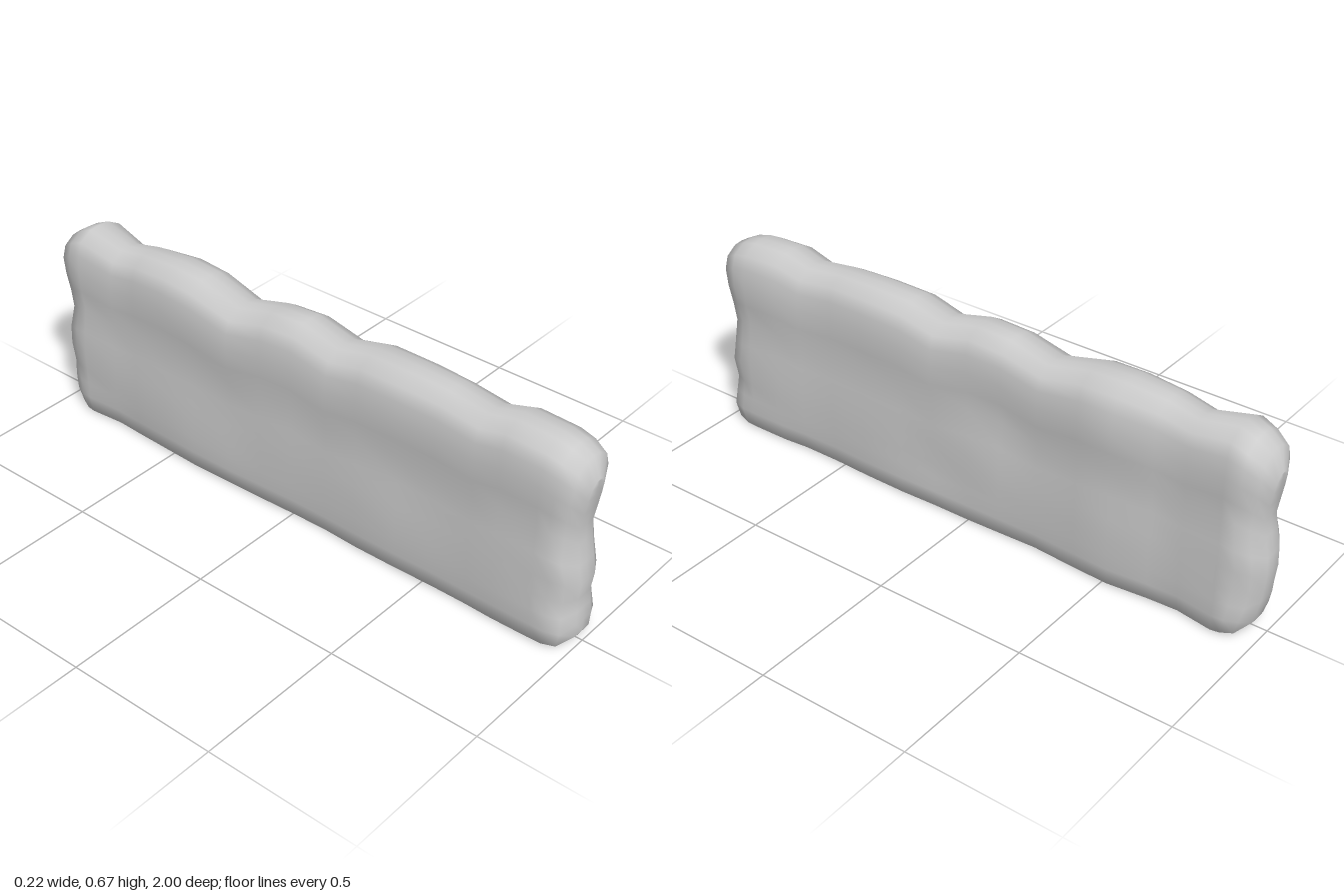
import * as THREE from 'three';
import { mergeVertices } from 'three/addons/utils/BufferGeometryUtils.js';

// Linear lookup in a list of [key, value] pairs with ascending keys
function lookup(table, k) {
  if (k <= table[0][0]) return table[0][1];
  for (let i = 1; i < table.length; i++) {
    const [a, va] = table[i - 1], [b, vb] = table[i];
    if (k <= b) return va + (vb - va) * (k - a) / (b - a);
  }
  return table[table.length - 1][1];
}

// Wavy crest: height along z
const crest = [[-1, 0.54], [-0.97, 0.62], [-0.88, 0.66], [-0.75, 0.63], [-0.65, 0.652],
  [-0.52, 0.662], [-0.4, 0.657], [-0.25, 0.62], [-0.12, 0.655], [0, 0.662], [0.13, 0.63],
  [0.25, 0.66], [0.4, 0.662], [0.53, 0.658], [0.66, 0.64], [0.75, 0.665], [0.88, 0.66],
  [0.97, 0.637], [1, 0.56]];

// Half thickness along z, for each face
const leftSide = [[-1, 0.09], [-0.88, 0.102], [-0.73, 0.08], [-0.5, 0.104], [-0.25, 0.085],
  [0, 0.095], [0.3, 0.1], [0.62, 0.086], [0.8, 0.102], [1, 0.092]];
const rightSide = [[-1, 0.09], [-0.88, 0.1], [-0.75, 0.088], [-0.4, 0.105], [-0.1, 0.098],
  [0.1, 0.09], [0.3, 0.1], [0.6, 0.093], [0.8, 0.101], [1, 0.094]];

// Scalloped end walls: reach in z by height
const frontEnd = [[0, 0.985], [0.05, 1], [0.16, 0.99], [0.24, 1], [0.3, 0.98], [0.4, 0.975],
  [0.55, 1], [0.665, 1]];
const backEnd = [[0, 0.955], [0.03, 0.965], [0.1, 0.985], [0.24, 1], [0.38, 0.975],
  [0.53, 1], [0.665, 1]];
// Extra pinch of the end columns by height
const endPinch = [[0, 1], [0.06, 1.02], [0.16, 0.78], [0.3, 0.98], [0.41, 0.85], [0.54, 1], [0.67, 0.95]];

// Half section: [share of thickness, share of height], bottom to top
const section = [[0, 0], [0.55, 0], [0.95, 0.006], [1.02, 0.09], [1.03, 0.17], [1.05, 0.25],
  [1.04, 0.36], [1, 0.47], [0.94, 0.6], [1.02, 0.7], [1.03, 0.8], [0.98, 0.89], [0.84, 0.955],
  [0.38, 0.995], [0, 1]];

// Soft hollows and swellings in the faces: side, z, y, radius, depth
const hollows = [[1, 0.13, 0.17, 0.13, -0.016], [1, -0.08, 0.42, 0.12, -0.012],
  [1, -0.5, 0.46, 0.14, 0.01], [1, 0.75, 0.48, 0.12, 0.006], [1, -0.55, 0.36, 0.1, -0.008],
  [-1, -0.3, 0.25, 0.13, -0.012], [-1, 0.45, 0.3, 0.12, -0.01], [-1, -0.65, 0.16, 0.16, 0.006],
  [-1, 0.1, 0.45, 0.14, 0.005]];

function wallGeometry() {
  // Stations along the length; the last few round off and close the ends
  const inner = crest.map(([z]) => z).filter((z) => Math.abs(z) < 0.9);
  const stations = [[-1, 0], [-1, 0.38], [-0.975, 0.86], [-0.93, 1],
    ...inner.map((z) => [z, 1]),
    [0.93, 1], [0.975, 0.88], [1, 0.4], [1, 0]];

  const mirrored = section.slice(1, -1).reverse().map(([x, y]) => [-x, y]);
  const loop = [...section, ...mirrored];
  const n = loop.length;
  const pos = [], index = [];

  stations.forEach(([t, round], k) => {
    const top = lookup(crest, t);
    const low = Math.abs(t) === 1 ? 0.03 : Math.abs(t) > 0.96 ? 0.004 : 0;
    loop.forEach(([fx, fy], j) => {
      const y = low + fy * (top - low);
      const side = Math.sign(fx);
      const reach = lookup(t > 0 ? frontEnd : backEnd, y);
      const nearEnd = Math.max(0, (Math.abs(t) - 0.85) / 0.15);
      const z = t * (1 + (reach - 1) * Math.min(1, nearEnd * 1.5));
      let x = fx * lookup(side > 0 ? leftSide : rightSide, t) * round;
      x *= 1 + (lookup(endPinch, y) - 1) * nearEnd;
      if (round === 1 && Math.abs(fx) > 0.9) {
        for (const [s, hz, hy, r, d] of hollows) {
          if (s === side) x += s * d * Math.exp(-((z - hz) ** 2 + (y - hy) ** 2) / (r * r));
        }
      }
      pos.push(x, y, z);
      if (k < stations.length - 1) {
        const a = k * n + j, b = k * n + (j + 1) % n;
        index.push(a, b, b + n, a, b + n, a + n);
      }
    });
  });

  const geo = new THREE.BufferGeometry();
  geo.setAttribute('position', new THREE.Float32BufferAttribute(pos, 3));
  geo.setIndex(index);
  const merged = mergeVertices(geo, 1e-4);
  merged.computeVertexNormals();
  return merged;
}

export function createModel() {
  const group = new THREE.Group();
  group.name = 'stoneWall';
  const wall = new THREE.Mesh(wallGeometry(), new THREE.MeshStandardMaterial({ color: 0xcccccc }));
  wall.name = 'wallBody';
  group.add(wall);
  return group;
}
